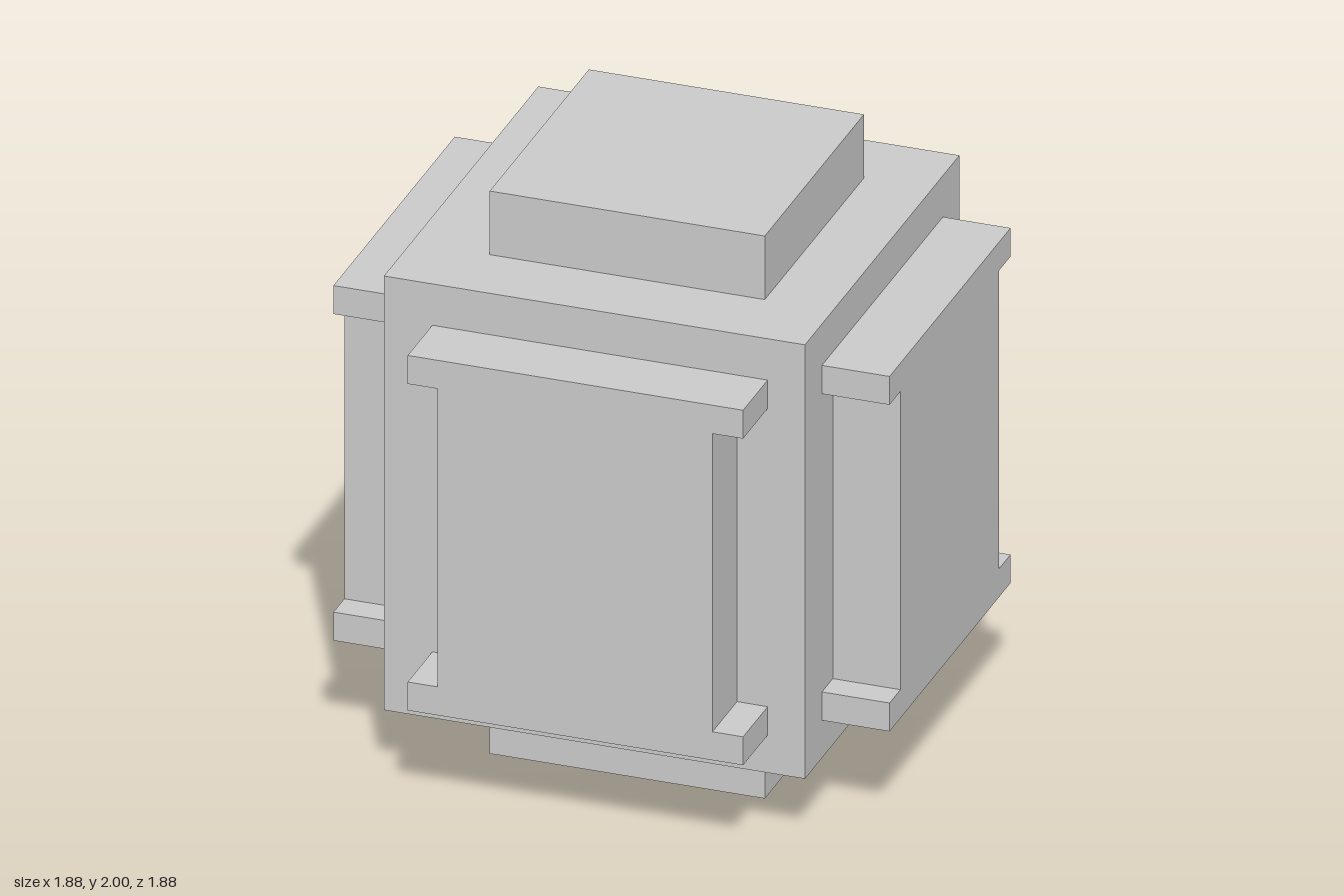
import * as THREE from 'three';

const material = new THREE.MeshStandardMaterial({ color: 0xcccccc, flatShading: true });

// Box given by its minimum and maximum corners
function box(name, min, max) {
  const size = max.map((v, i) => v - min[i]);
  const mesh = new THREE.Mesh(new THREE.BoxGeometry(...size), material);
  mesh.position.set(...max.map((v, i) => (v + min[i]) / 2));
  mesh.name = name;
  return mesh;
}

// I-shaped plate: flange from a to b, web from c to d, extruded outward and turned to its side
function sidePanel(name, angle, [a, b], [c, d], inner, outer) {
  const y0 = 0.365, y1 = 0.466, y2 = 1.526, y3 = 1.627;
  const outline = [
    [a, y0], [b, y0], [b, y1], [d, y1], [d, y2], [b, y2],
    [b, y3], [a, y3], [a, y2], [c, y2], [c, y1], [a, y1],
  ].map(([x, y]) => new THREE.Vector2(x, y));
  const geometry = new THREE.ExtrudeGeometry(new THREE.Shape(outline), {
    depth: outer - inner,
    bevelEnabled: false,
  });
  geometry.translate(0, 0, inner);
  const mesh = new THREE.Mesh(geometry, material);
  mesh.rotation.y = angle;
  mesh.name = name;
  return mesh;
}

export function createModel() {
  const model = new THREE.Group();
  model.name = 'panelledBlock';

  // Core with a smaller raised block above and below
  model.add(
    box('core', [-0.714, 0.231, -0.718], [0.711, 1.774, 0.714]),
    box('topBlock', [-0.45, 1.774, -0.463], [0.481, 2, 0.456]),
    box('bottomBlock', [-0.45, 0, -0.463], [0.481, 0.231, 0.456]),
  );

  // One I-shaped panel on each upright side
  model.add(
    sidePanel('frontPanel', 0, [-0.55, 0.585], [-0.45, 0.481], 0.714, 0.942),
    sidePanel('backPanel', Math.PI, [-0.585, 0.55], [-0.481, 0.45], 0.718, 0.942),
    sidePanel('leftPanel', Math.PI / 2, [-0.557, 0.565], [-0.456, 0.459], 0.711, 0.94),
    sidePanel('rightPanel', -Math.PI / 2, [-0.568, 0.557], [-0.463, 0.456], 0.714, 0.942),
  );
  return model;
}
